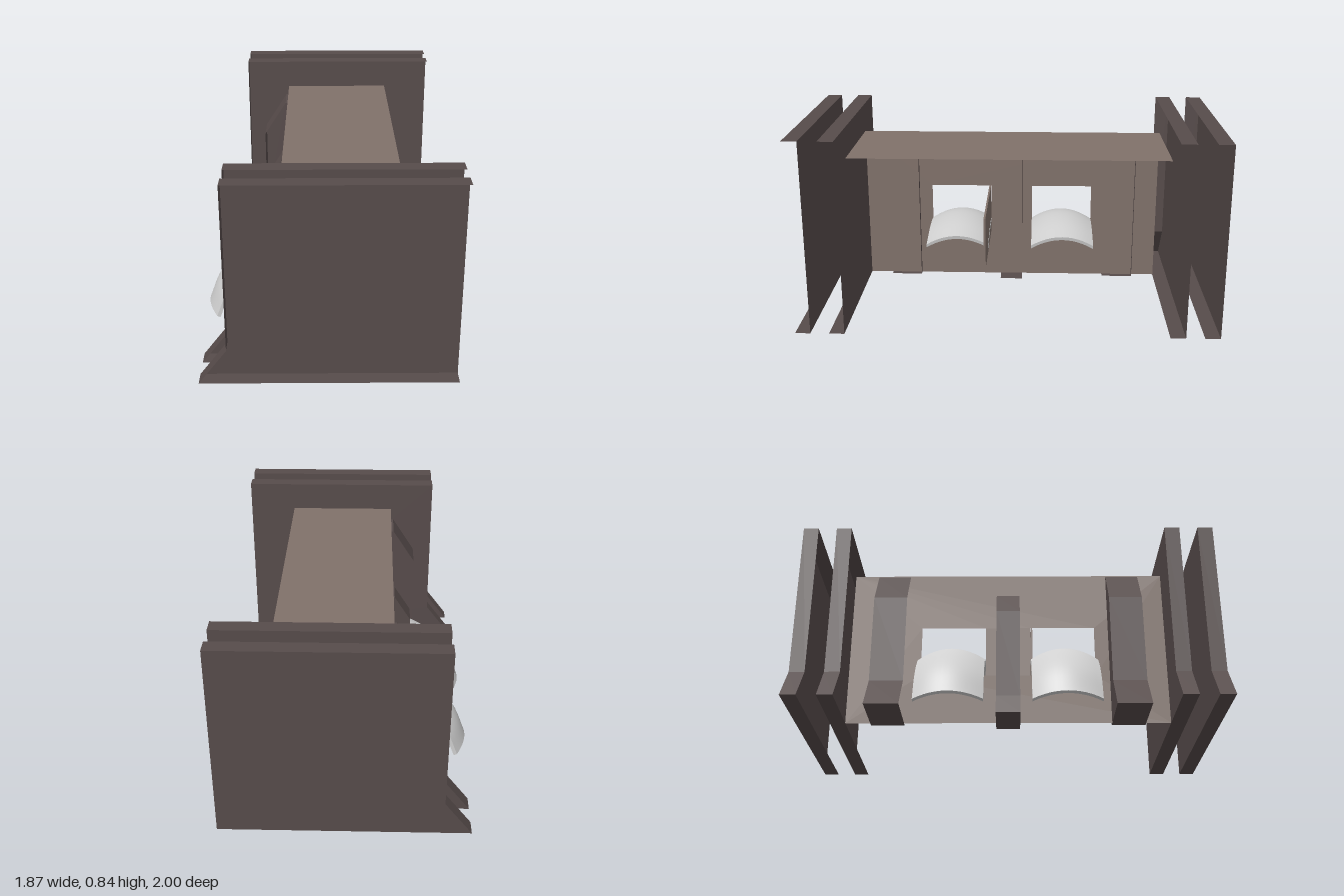
import * as THREE from 'three';
import { mergeGeometries } from 'three/addons/utils/BufferGeometryUtils.js';

const material = (name, color) => {
  const m = new THREE.MeshStandardMaterial({ color, side: THREE.DoubleSide });
  m.name = name;
  return m;
};

// Geometry from a list of four-cornered faces
function quads(list) {
  const pos = [];
  for (const [a, b, c, d] of list) pos.push(...a, ...b, ...c, ...a, ...c, ...d);
  const g = new THREE.BufferGeometry();
  g.setAttribute('position', new THREE.Float32BufferAttribute(pos, 3));
  g.computeVertexNormals();
  return g;
}

// Sheet-metal fin: one side panel plus a rim along a [z, y] profile, open at the front
function finGeometry(profile, x0, x1) {
  const shape = new THREE.Shape(profile.map(([z, y]) => new THREE.Vector2(-z, y)));
  const side = new THREE.ShapeGeometry(shape).toNonIndexed();
  side.deleteAttribute('uv');
  side.rotateY(Math.PI / 2).translate(x1, 0, 0);
  const rim = [];
  for (let i = 0; i < profile.length - 1; i++) {
    const [z0, y0] = profile[i], [z1, y1] = profile[i + 1];
    rim.push([[x0, y0, z0], [x0, y1, z1], [x1, y1, z1], [x1, y0, z0]]);
  }
  return mergeGeometries([side, quads(rim)]);
}

// Arched chute: a bowed cross-section swept along a falling curve
function chuteGeometry(width) {
  const path = new THREE.CatmullRomCurve3([
    [0.1, 0.27], [-0.05, 0.3], [-0.19, 0.298], [-0.33, 0.24], [-0.43, 0.13], [-0.48, 0.01],
  ].map(([z, y]) => new THREE.Vector3(0, y, z)));
  const rows = 24, cols = 12, thick = 0.015;
  const sheet = (inset) => {
    const pos = [], index = [];
    for (let i = 0; i <= rows; i++) {
      const p = path.getPoint(i / rows), t = path.getTangent(i / rows);
      for (let j = 0; j <= cols; j++) {
        const s = (j / cols) * 2 - 1;
        const h = 0.045 * (1 - s * s) - inset;
        pos.push(s * width / 2, Math.max(0, p.y - t.z * h), p.z + t.y * h);
        if (i < rows && j < cols) {
          const a = i * (cols + 1) + j, b = a + cols + 1;
          if (inset) index.push(a, b, a + 1, b, b + 1, a + 1);
          else index.push(a, a + 1, b, b, a + 1, b + 1);
        }
      }
    }
    const g = new THREE.BufferGeometry();
    g.setAttribute('position', new THREE.Float32BufferAttribute(pos, 3));
    g.setIndex(index);
    g.computeVertexNormals();
    return g;
  };
  const top = sheet(0), under = sheet(thick);
  const at = (g, i, j) => new THREE.Vector3()
    .fromBufferAttribute(g.attributes.position, i * (cols + 1) + j).toArray();
  // Close the four edges between both sheets
  const edges = [];
  const close = (i0, j0, i1, j1) =>
    edges.push([at(top, i0, j0), at(under, i0, j0), at(under, i1, j1), at(top, i1, j1)]);
  for (let i = 0; i < rows; i++) { close(i, 0, i + 1, 0); close(i + 1, cols, i, cols); }
  for (let j = 0; j < cols; j++) { close(0, j + 1, 0, j); close(rows, j, rows, j + 1); }
  return mergeGeometries([top.toNonIndexed(), under.toNonIndexed(), quads(edges)]);
}

export function createModel() {
  const model = new THREE.Group();
  model.name = 'model';
  const body = material('taupe', 0x80716a);
  const dark = material('dark brown', 0x574c4b);
  const grey = material('light grey', 0xd0d0d0);
  const add = (name, geometry, mat) => {
    const mesh = new THREE.Mesh(geometry, mat);
    mesh.name = name;
    model.add(mesh);
    return mesh;
  };

  const half = 0.674, back = -0.19, front = 0.286, top = 0.715, base = 0.02;
  const win = { x0: 0.095, x1: 0.37, y0: 0.235, y1: 0.458 };
  const rect = (path, x0, y0, x1, y1) =>
    path.moveTo(x0, y0).lineTo(x1, y0).lineTo(x1, y1).lineTo(x0, y1).closePath();

  // Rear wall with two openings
  const wall = rect(new THREE.Shape(), -half, base, half, top);
  for (const s of [-1, 1]) {
    wall.holes.push(rect(new THREE.Path(), s * win.x0, win.y0, s * win.x1, win.y1));
  }
  add('rearWall', new THREE.ShapeGeometry(wall).translate(0, 0, back), body);

  // Flat roof
  const roof = new THREE.PlaneGeometry(half * 2, front - back).rotateX(-Math.PI / 2);
  add('roof', roof.translate(0, top, (front + back) / 2), body);

  // Partition beside the opening
  const partition = new THREE.BoxGeometry(0.008, win.y1 - win.y0, front - back);
  add('partition', partition.translate(-0.1, (win.y0 + win.y1) / 2, (front + back) / 2), body);

  // Two end panels at each end, flared at the rear foot
  const panel = [[0.496, base], [-0.5, base], [-0.39, 0.165], [-0.39, 0.84], [0.496, 0.84]];
  for (const x of [-0.847, -0.705, 0.705, 0.847]) {
    add('endPanel', finGeometry(panel, x - 0.032, x + 0.032), dark);
  }

  // Rear buttresses
  const large = [[-0.165, base], [-0.41, base], [-0.3, 0.165], [-0.3, 0.55], [-0.2, 0.705], [-0.165, 0.705]];
  for (const x of [-0.5, 0.5]) {
    add('sideButtress', finGeometry(large, x - 0.07, x + 0.07), dark);
  }
  const small = [[-0.12, base], [-0.315, base], [-0.27, 0.11], [-0.27, 0.5], [-0.2, 0.61], [-0.12, 0.61]];
  add('centreButtress', finGeometry(small, -0.05, 0.05), dark);

  // Chutes falling out of the openings
  for (const s of [-1, 1]) {
    const chute = add('chute', chuteGeometry(win.x1 - win.x0), grey);
    chute.position.x = s * (win.x0 + win.x1) / 2;
  }

  // Whole building stands turned on the ground
  model.rotation.y = THREE.MathUtils.degToRad(51.9);
  return model;
}
